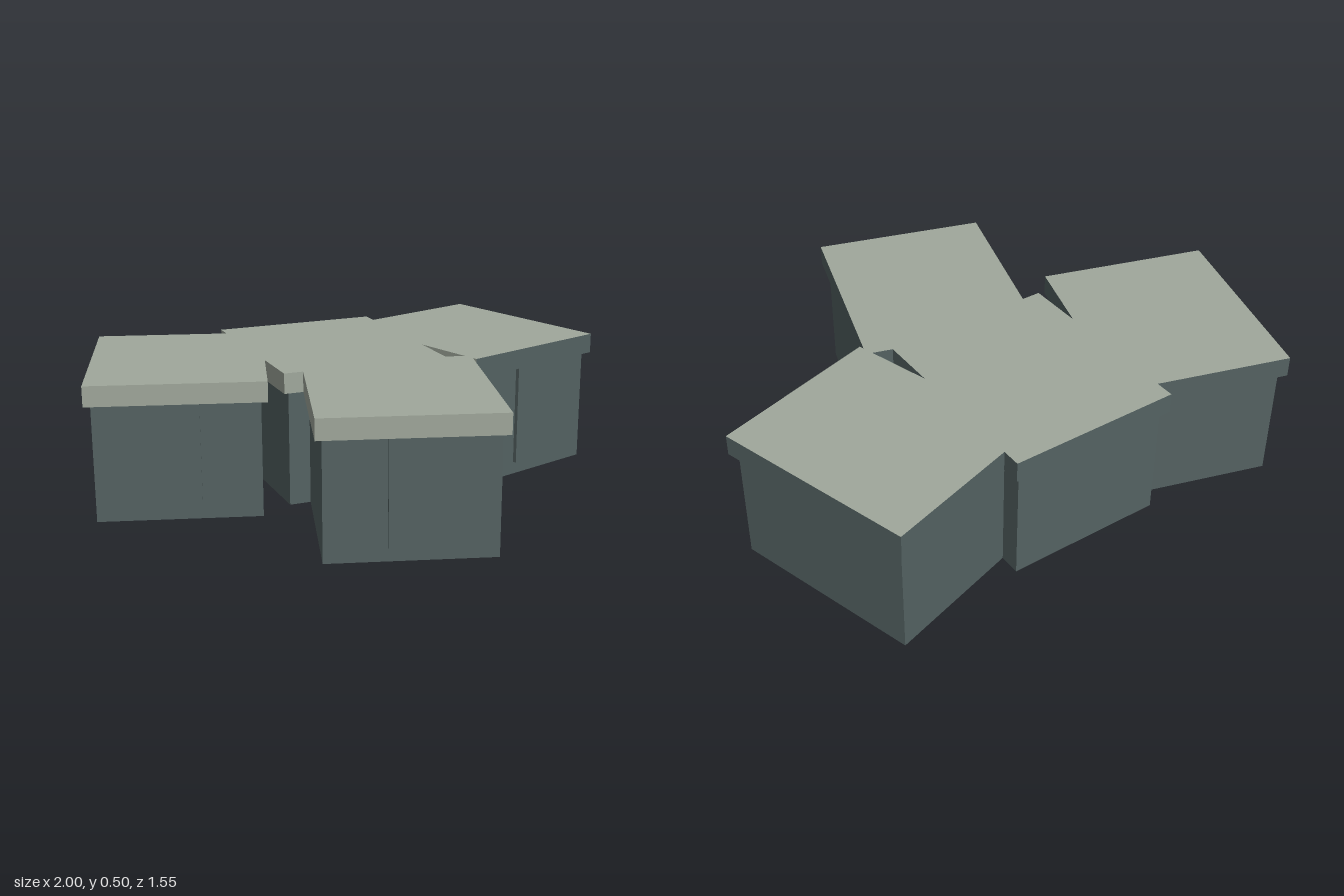
import * as THREE from 'three';

export function createModel() {
  const model = new THREE.Group();
  model.name = 'modularBuilding';

  const wall = new THREE.MeshStandardMaterial({ color: 0x546262 });
  wall.name = 'slate wall';
  const roof = new THREE.MeshStandardMaterial({ color: 0xa0a89c });
  roof.name = 'pale roof';

  const ROOF_W = 0.627, ROOF_D = 0.738, EAVE = 0.424, TOP = 0.498;
  const OVERHANG = 0.023;
  const wallW = ROOF_W - 2 * OVERHANG, wallD = ROOF_D - 2 * OVERHANG;

  function box(parent, name, w, d, y0, y1, z, material) {
    const mesh = new THREE.Mesh(new THREE.BoxGeometry(w, y1 - y0, d), material);
    mesh.name = name;
    mesh.position.set(0, (y0 + y1) / 2, z);
    parent.add(mesh);
  }

  // One module: walls, flat roof slab and a door panel on the front
  function addUnit(name, x, z, angle, paleFront) {
    const unit = new THREE.Group();
    unit.name = name;
    unit.position.set(x, 0, z);
    unit.rotation.y = angle;
    box(unit, 'walls', wallW, wallD, 0, EAVE, 0, wall);
    // Face order: right (+x), left (-x), top, bottom, front, back
    const faces = [wall, roof, roof, wall, paleFront ? roof : wall, wall];
    box(unit, 'roofSlab', ROOF_W, ROOF_D, EAVE, TOP, 0, faces);
    box(unit, 'door', 0.157, 0.03, 0.048, EAVE, wallD / 2, wall);
    model.add(unit);
  }

  const turn = THREE.MathUtils.degToRad(17);
  addUnit('centreUnit', 0, -0.332, 0, true);
  addUnit('leftWing', 0.592, -0.331, turn, false);
  addUnit('rightWing', -0.592, -0.331, -turn, true);
  addUnit('frontWing', -0.003, 0.325, -turn, true);

  return model;
}
